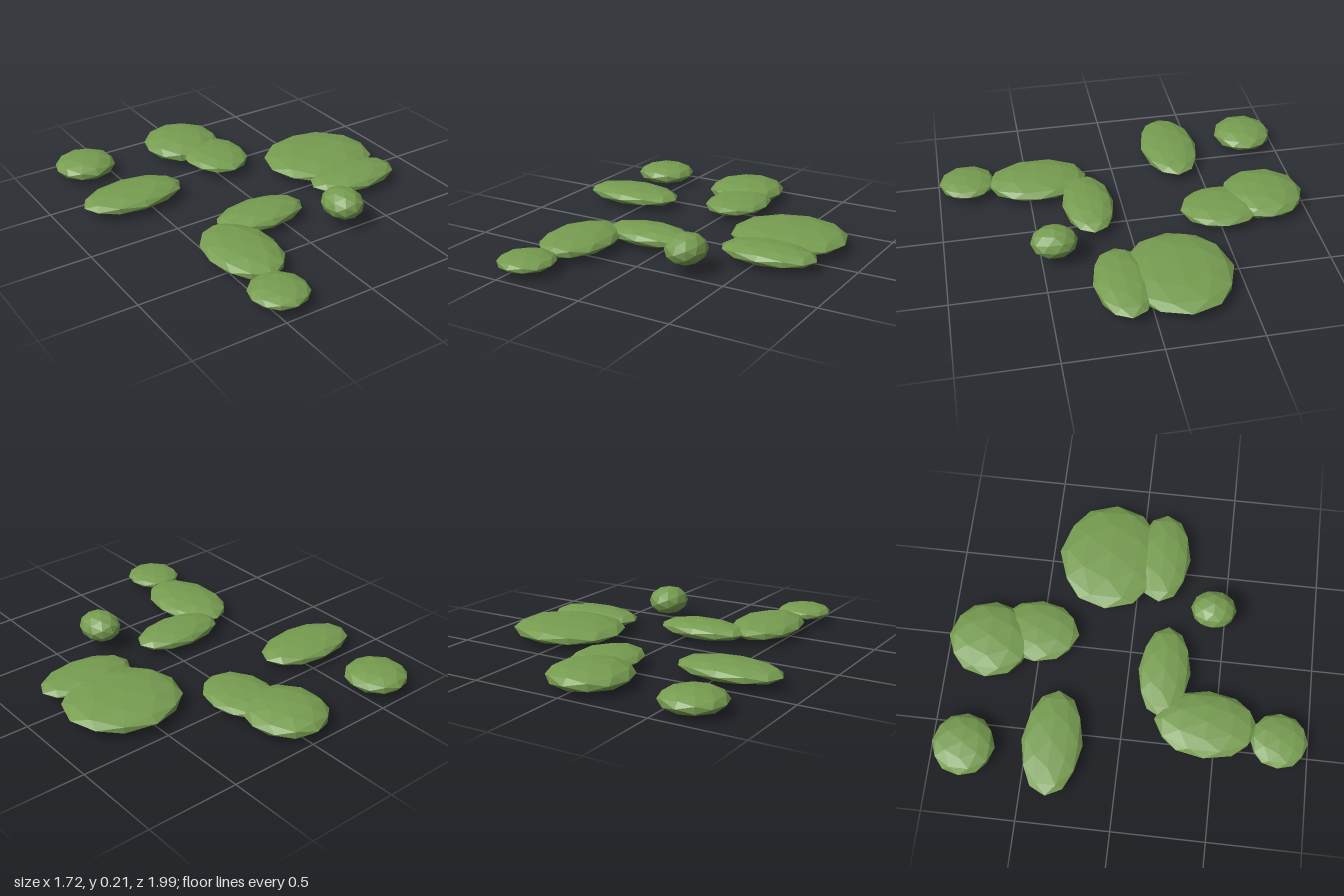
import * as THREE from 'three';

export function createModel() {
  const model = new THREE.Group();
  model.name = 'leafPatches';

  const leafGreen = new THREE.MeshStandardMaterial({ color: 0x769c50 });
  leafGreen.name = 'leafGreen';

  // Faceted blob shared by every clump (non-indexed, so its facets stay flat)
  const blob = new THREE.IcosahedronGeometry(1, 1);

  // Each clump: centre x, y, z, then radii x, y, z
  const clumps = [
    ['backRightPatch', -0.635, 0.068, -0.823, 0.17, 0.058, 0.169],
    ['backPatch', -0.03, 0.067, -0.77, 0.219, 0.063, 0.23],
    ['backInnerPatch', 0.045, 0.067, -0.517, 0.178, 0.044, 0.227],
    ['rightPatch', -0.573, 0.067, -0.357, 0.289, 0.05, 0.164],
    ['largeLeftPatch', 0.537, 0.067, -0.17, 0.319, 0.057, 0.29],
    ['leftFrontPatch', 0.56, 0.067, 0.123, 0.268, 0.05, 0.154],
    ['middlePatch', -0.113, 0.067, 0.197, 0.259, 0.052, 0.142],
    ['frontRightPatch', -0.385, 0.067, 0.447, 0.187, 0.054, 0.28],
    ['frontPatch', -0.433, 0.067, 0.838, 0.151, 0.041, 0.156],
    ['roundBush', 0.253, 0.13, 0.43, 0.108, 0.08, 0.125],
  ];

  for (const [name, x, y, z, rx, ry, rz] of clumps) {
    // Bake the size into the geometry and recompute the facet normals
    const geometry = blob.clone().scale(rx, ry, rz);
    geometry.computeVertexNormals();
    const mesh = new THREE.Mesh(geometry, leafGreen);
    mesh.name = name;
    mesh.position.set(x, y, z);
    model.add(mesh);
  }
  return model;
}
